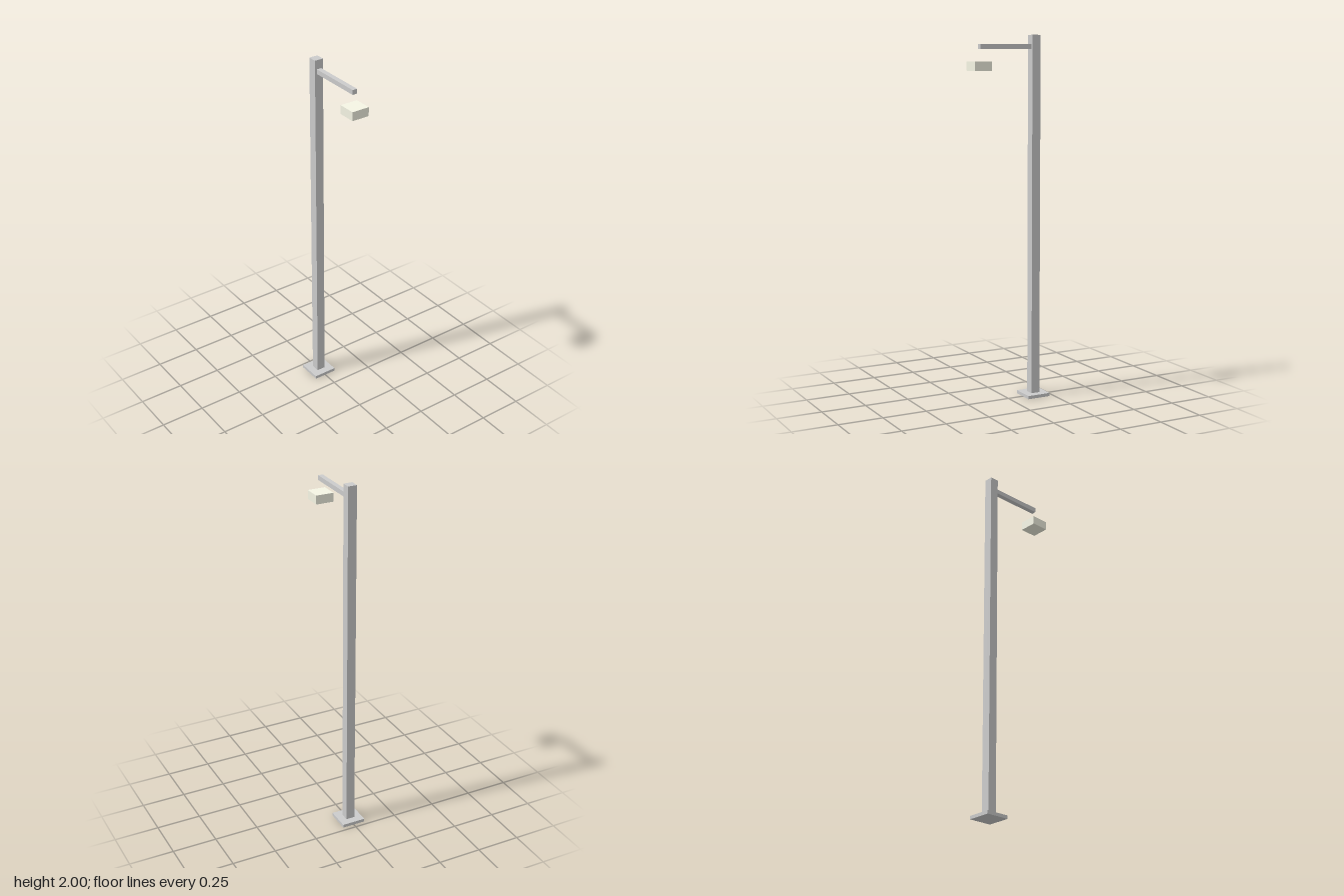
import * as THREE from 'three';

const metal = new THREE.MeshStandardMaterial({ color: 0xcccccc, flatShading: true });
const lampShade = new THREE.MeshStandardMaterial({ color: 0xf5f5e4, flatShading: true });

const POST_X = -0.158;
const LAMP_X = 0.175;

function box(name, [w, h, d], [x, y], material = metal) {
  const mesh = new THREE.Mesh(new THREE.BoxGeometry(w, h, d), material);
  mesh.name = name;
  mesh.position.set(x, y, 0);
  return mesh;
}

export function createModel() {
  const group = new THREE.Group();
  group.name = 'streetLamp';
  group.add(
    // square foot plate and tall post
    box('basePlate', [0.134, 0.018, 0.134], [POST_X, 0.009]),
    box('post', [0.05, 1.995, 0.05], [POST_X, 1.0025]),
    // arm runs from the post's axis to above the lamp's centre
    box('arm', [LAMP_X - POST_X, 0.026, 0.027], [(POST_X + LAMP_X) / 2, 1.937]),
    // lamp head hangs free below the arm's end
    box('lampHead', [0.1, 0.049, 0.1], [LAMP_X, 1.835], lampShade)
  );
  return group;
}
